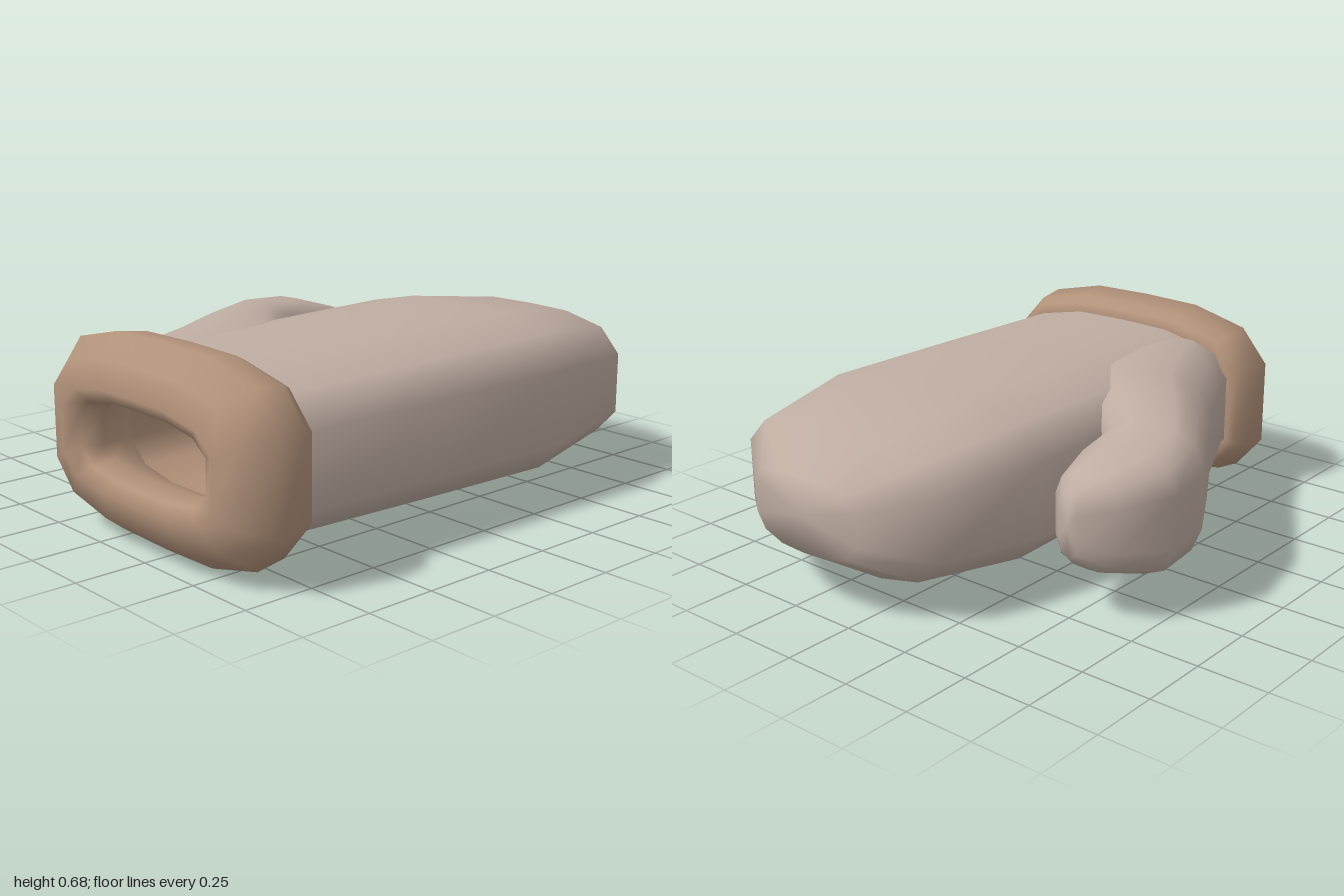
import * as THREE from 'three';

// Upper right quarter of the rounded cross-section: [across, up], mirrored into 14 points
const quarter = [[0, 1], [0.42, 0.985], [0.81, 0.83], [1, 0.46]];
const profile = [
  ...quarter,
  ...quarter.slice(1).reverse().map(([u, v]) => [u, -v]),
  ...quarter.map(([u, v]) => [-u, -v]),
  ...quarter.slice(1).reverse().map(([u, v]) => [-u, v]),
];
profile.splice(7, 1, [0, -1]);
const ringPoints = profile.filter((p, i) => i === 0 || p[0] !== profile[i - 1][0] || p[1] !== profile[i - 1][1]);
const MID_Y = 0.34;
const MID_Z = 0.2;

// Skin a row of sections; each has far edge a, near edge b (x, z), half height h and end bulge
function loft(sections, { startTip, endTip } = {}) {
  const n = ringPoints.length;
  const positions = [];
  const index = [];
  for (const { a, b, h, bulge = 0 } of sections) {
    for (const [u, v] of ringPoints) {
      const t = (u + 1) / 2;
      positions.push(a[0] + (b[0] - a[0]) * t + bulge * (1 - u * u), MID_Y + v * h, a[1] + (b[1] - a[1]) * t);
    }
  }
  for (let i = 0; i < sections.length - 1; i++) {
    for (let j = 0; j < n; j++) {
      const p = i * n + j;
      const q = i * n + (j + 1) % n;
      index.push(p, q, p + n, q, q + n, p + n);
    }
  }
  if (startTip) {
    const c = positions.length / 3;
    positions.push(...startTip);
    for (let j = 0; j < n; j++) index.push(c, (j + 1) % n, j);
  }
  if (endTip) {
    const c = positions.length / 3;
    const base = (sections.length - 1) * n;
    positions.push(...endTip);
    for (let j = 0; j < n; j++) index.push(base + j, base + (j + 1) % n, c);
  }
  const geometry = new THREE.BufferGeometry();
  geometry.setAttribute('position', new THREE.Float32BufferAttribute(positions, 3));
  geometry.setIndex(index);
  geometry.computeVertexNormals();
  return geometry;
}

// Section square to x: position, half width in z, half height
const straight = ([x, w, h, bulge = 0]) => ({ a: [x, MID_Z - w], b: [x, MID_Z + w], h, bulge });

export function createModel() {
  const group = new THREE.Group();
  const wool = new THREE.MeshStandardMaterial({ color: 0xbfada2 });
  wool.name = 'pale wool';
  const trim = new THREE.MeshStandardMaterial({ color: 0xb2927a });
  trim.name = 'brown trim';

  const add = (name, geometry, material) => {
    const mesh = new THREE.Mesh(geometry, material);
    mesh.name = name;
    group.add(mesh);
  };

  // Hand pocket
  add('hand', loft([
    [-0.78, 0.49, 0.262],
    [-0.72, 0.495, 0.267],
    [-0.15, 0.51, 0.278],
    [0.42, 0.52, 0.287],
    [0.83, 0.43, 0.235],
    [0.975, 0.24, 0.13, 0.025],
  ].map(straight), { endTip: [1, MID_Y, MID_Z] }), wool);

  // Thumb, growing out of the far side of the hand
  add('thumb', loft([
    { a: [-0.76, -0.27], b: [-0.6, 0.2], h: 0.25 },
    { a: [-0.6, -0.345], b: [-0.42, 0.17], h: 0.258 },
    { a: [-0.38, -0.45], b: [-0.22, 0.08], h: 0.258 },
    { a: [-0.15, -0.59], b: [-0.03, -0.16], h: 0.247 },
    { a: [0.09, -0.73], b: [0.13, -0.35], h: 0.225 },
    { a: [0.3, -0.77], b: [0.33, -0.38], h: 0.207 },
    { a: [0.47, -0.67], b: [0.47, -0.42], h: 0.16 },
    { a: [0.535, -0.56], b: [0.52, -0.47], h: 0.105 },
  ], { endTip: [0.54, MID_Y, -0.52] }), wool);

  // Padded cuff, rolled from the throat over the rim to the hand
  add('cuff', loft([
    [-0.72, 0.42, 0.2],
    [-0.8, 0.36, 0.15],
    [-0.9, 0.31, 0.115],
    [-0.97, 0.335, 0.13],
    [-1, 0.4, 0.175],
    [-0.97, 0.49, 0.27],
    [-0.88, 0.565, 0.338],
    [-0.77, 0.555, 0.322],
    [-0.73, 0.53, 0.3],
    [-0.715, 0.505, 0.27],
    [-0.72, 0.47, 0.24],
  ].map(straight)), trim);

  // Inner lining of the pocket, facing inwards
  add('lining', loft([
    [0.8, 0.36, 0.18],
    [0.42, 0.45, 0.235],
    [-0.72, 0.42, 0.2],
  ].map(straight), { startTip: [0.84, MID_Y, MID_Z] }), trim);

  return group;
}
